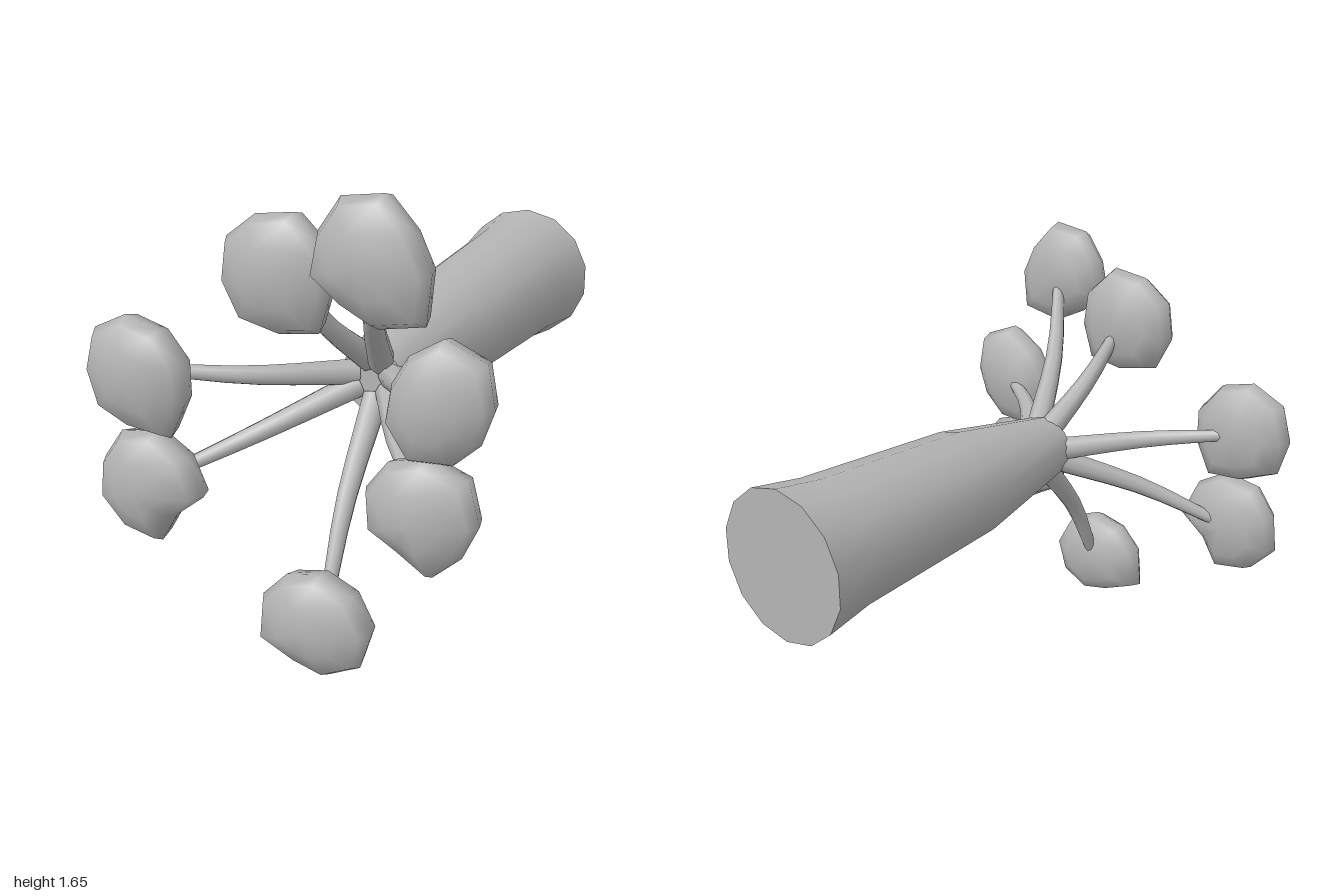
import * as THREE from 'three';

const bark = new THREE.MeshStandardMaterial({ color: 0xb4b4b4 });
bark.name = 'grey';

const AXIS_X = 0.115, AXIS_Y = 0.868, SIDES = 14;

// Foliage clumps: centre, angle of the first outline corner, corner radii every 40 degrees
const clumps = [
  { c: [0.37, 1.45, 0.865], start: -43, r: [0.25, 0.2, 0.18, 0.215, 0.21, 0.19, 0.215, 0.175, 0.205] },
  { c: [-0.02, 1.33, 0.765], start: -49, r: [0.23, 0.2, 0.21, 0.22, 0.2, 0.21, 0.21, 0.22, 0.2] },
  { c: [-0.51, 0.94, 0.875], start: 300, r: [0.24, 0.2, 0.2, 0.2, 0.21, 0.22, 0.21, 0.22, 0.2] },
  { c: [-0.49, 0.54, 0.88], start: 0, r: [0.22, 0.21, 0.21, 0.21, 0.2, 0.22, 0.21, 0.21, 0.14] },
  { c: [0.17, 0.19, 0.895], start: 204, r: [0.24, 0.175, 0.19, 0.205, 0.21, 0.2, 0.19, 0.19, 0.21] },
  { c: [0.48, 0.60, 0.76], start: -77, r: [0.216, 0.19, 0.21, 0.235, 0.21, 0.2, 0.2, 0.2, 0.155] },
  { c: [0.54, 0.99, 0.755], start: 45, r: [0.23, 0.22, 0.175, 0.165, 0.2, 0.23, 0.2, 0.18, 0.19] },
];

function add(parent, geometry, name) {
  const mesh = new THREE.Mesh(geometry, bark);
  mesh.name = name;
  parent.add(mesh);
  return mesh;
}

// Flattened irregular clump, lofted from back pole to front pole along z
function clumpGeometry({ start, r }) {
  const rings = [[0.62, -0.085], [0.92, -0.045], [1, 0.012], [0.88, 0.055], [0.5, 0.088]];
  const n = r.length, pos = [0, 0, -0.1], idx = [];
  for (const [k, z] of rings) {
    for (let i = 0; i < n; i++) {
      const a = THREE.MathUtils.degToRad(start + (i * 360) / n);
      pos.push(Math.cos(a) * r[i] * k, Math.sin(a) * r[i] * k, z);
    }
  }
  pos.push(0, 0, 0.105);
  const front = rings.length * n + 1;
  for (let i = 0; i < n; i++) {
    const j = (i + 1) % n;
    idx.push(0, 1 + j, 1 + i);
    for (let k = 0; k < rings.length - 1; k++) {
      const a = 1 + k * n + i, b = 1 + k * n + j;
      idx.push(a, b, b + n, a, b + n, a + n);
    }
    idx.push(front - n + i, front - n + j, front);
  }
  const g = new THREE.BufferGeometry();
  g.setAttribute('position', new THREE.Float32BufferAttribute(pos, 3));
  g.setIndex(idx);
  g.computeVertexNormals();
  return g;
}

// Curved branch tapering from the trunk tip into its clump
function branchGeometry([x, y, z]) {
  const dir = new THREE.Vector3(x - AXIS_X, y - AXIS_Y, 0).normalize();
  const base = new THREE.Vector3(AXIS_X, AXIS_Y, 0.39).addScaledVector(dir, 0.07);
  const end = new THREE.Vector3(x, y, z - 0.06).addScaledVector(dir, -0.03);
  const mid = base.clone().lerp(end, 0.5);
  mid.z += 0.045;
  const curve = new THREE.CatmullRomCurve3([base, mid, end]);
  const steps = 6, sides = 8;
  const g = new THREE.TubeGeometry(curve, steps, 1, sides);
  const p = g.attributes.position, v = new THREE.Vector3();
  for (let i = 0; i < p.count; i++) {
    const t = Math.floor(i / (sides + 1)) / steps;
    const centre = curve.getPointAt(t);
    v.fromBufferAttribute(p, i).sub(centre).multiplyScalar(0.049 - 0.026 * t).add(centre);
    p.setXYZ(i, v.x, v.y, v.z);
  }
  return g;
}

export function createModel() {
  const group = new THREE.Group();
  group.name = 'tree';

  // Trunk lying along z, wide end at the back
  const trunk = new THREE.Group();
  trunk.name = 'trunk';
  trunk.position.set(AXIS_X, AXIS_Y, 0);
  group.add(trunk);
  const profile = [[0.277, -1], [0.247, -0.8], [0.212, -0.12], [0.122, 0.41]];
  const body = new THREE.LatheGeometry(profile.map(([r, h]) => new THREE.Vector2(r, h)), SIDES);
  add(trunk, body.rotateX(Math.PI / 2), 'trunkBody');
  const back = new THREE.CircleGeometry(0.277, SIDES, Math.PI / 2).rotateY(Math.PI);
  add(trunk, back, 'trunkBase').position.z = -1;
  add(trunk, new THREE.CircleGeometry(0.122, SIDES, Math.PI / 2), 'trunkTip').position.z = 0.41;

  // Branches and their foliage
  clumps.forEach((clump, i) => {
    add(group, branchGeometry(clump.c), `branch${i + 1}`);
    add(group, clumpGeometry(clump), `foliage${i + 1}`).position.set(...clump.c);
  });
  return group;
}
